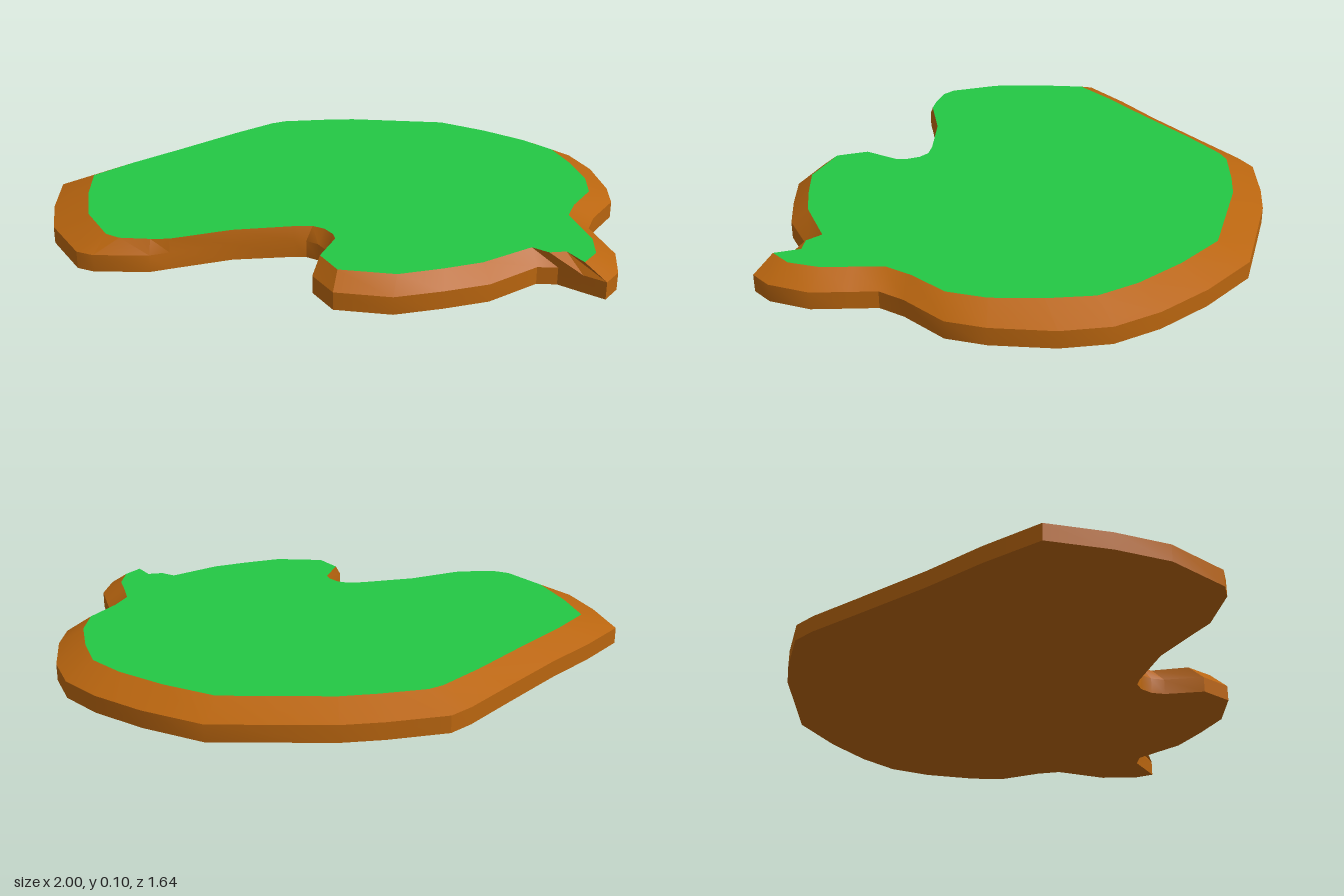
import * as THREE from 'three';
import { toCreasedNormals } from 'three/addons/utils/BufferGeometryUtils.js';

const TOP = 0.105, SHOULDER = 0.058;

// Shoreline: [outer x, outer z], clockwise from the left tip
const OUTER = [
  [-1, -0.02], [-0.86, -0.18], [-0.7, -0.34], [-0.5, -0.56], [-0.37, -0.705], [-0.3, -0.765],
  [-0.1, -0.805], [0.04, -0.82], [0.44, -0.8], [0.64, -0.69], [0.8, -0.57], [0.91, -0.45],
  [0.97, -0.3], [1, -0.1], [0.995, 0.03], [0.91, 0.18], [0.88, 0.27], [0.905, 0.36],
  [0.935, 0.47], [0.92, 0.61], [0.875, 0.68], [0.81, 0.635], [0.74, 0.585], [0.675, 0.585],
  [0.52, 0.715], [0.38, 0.77], [0.23, 0.818], [0.05, 0.797], [-0.02, 0.69], [0.015, 0.55],
  [0.01, 0.5], [-0.02, 0.455], [-0.06, 0.432], [-0.1, 0.433], [-0.3, 0.467], [-0.49, 0.548],
  [-0.55, 0.575], [-0.73, 0.583], [-0.79, 0.56], [-0.92, 0.37], [-0.97, 0.19],
];

// Matching edge of the grass
const INNER = [
  [-0.875, 0], [-0.76, -0.14], [-0.61, -0.3], [-0.42, -0.51], [-0.29, -0.64], [-0.24, -0.67],
  [-0.08, -0.7], [0.04, -0.715], [0.41, -0.695], [0.58, -0.6], [0.73, -0.49], [0.83, -0.385],
  [0.88, -0.24], [0.915, -0.08], [0.91, 0.05], [0.84, 0.18], [0.81, 0.27], [0.835, 0.37],
  [0.86, 0.46], [0.855, 0.57], [0.81, 0.64], [0.765, 0.565], [0.71, 0.575], [0.66, 0.54],
  [0.5, 0.66], [0.38, 0.71], [0.24, 0.758], [0.06, 0.737], [0, 0.64], [0.04, 0.51],
  [0.03, 0.475], [0, 0.435], [-0.04, 0.415], [-0.1, 0.42], [-0.3, 0.463], [-0.49, 0.545],
  [-0.55, 0.55], [-0.65, 0.547], [-0.7, 0.52], [-0.8, 0.36], [-0.85, 0.17],
];

// Flat face filling an outline, facing up or down
function cap(points, y, up) {
  const s = up ? -1 : 1;
  const shape = new THREE.Shape(points.map(([x, z]) => new THREE.Vector2(x, s * z)));
  return new THREE.ShapeGeometry(shape).rotateX(s * Math.PI / 2).translate(0, y, 0);
}

// Band of faces joining stacked outlines
function bands(rings) {
  const n = rings[0].points.length, positions = [], index = [];
  for (const { points, y } of rings) for (const [x, z] of points) positions.push(x, y, z);
  for (let r = 0; r < rings.length - 1; r++) {
    for (let i = 0; i < n; i++) {
      const a = r * n + i, b = r * n + (i + 1) % n, c = b + n, d = a + n;
      index.push(a, d, c, a, c, b);
    }
  }
  const g = new THREE.BufferGeometry();
  g.setAttribute('position', new THREE.Float32BufferAttribute(positions, 3));
  g.setIndex(index);
  return toCreasedNormals(g, 0.5);
}

export function createModel() {
  const group = new THREE.Group();
  group.name = 'island';
  const grass = new THREE.MeshStandardMaterial({ color: 0x23c844 });
  grass.name = 'grass green';
  const earth = new THREE.MeshStandardMaterial({ color: 0xb9650f });
  earth.name = 'earth brown';

  const add = (name, geometry, material) => {
    const mesh = new THREE.Mesh(geometry, material);
    mesh.name = name;
    group.add(mesh);
  };

  // Vertical cliff and the bevelled bank above it
  add('bank', bands([
    { points: OUTER, y: 0 }, { points: OUTER, y: SHOULDER }, { points: INNER, y: TOP },
  ]), earth);
  add('underside', cap(OUTER, 0, false), earth);
  add('grassTop', cap(INNER, TOP, true), grass);
  return group;
}
